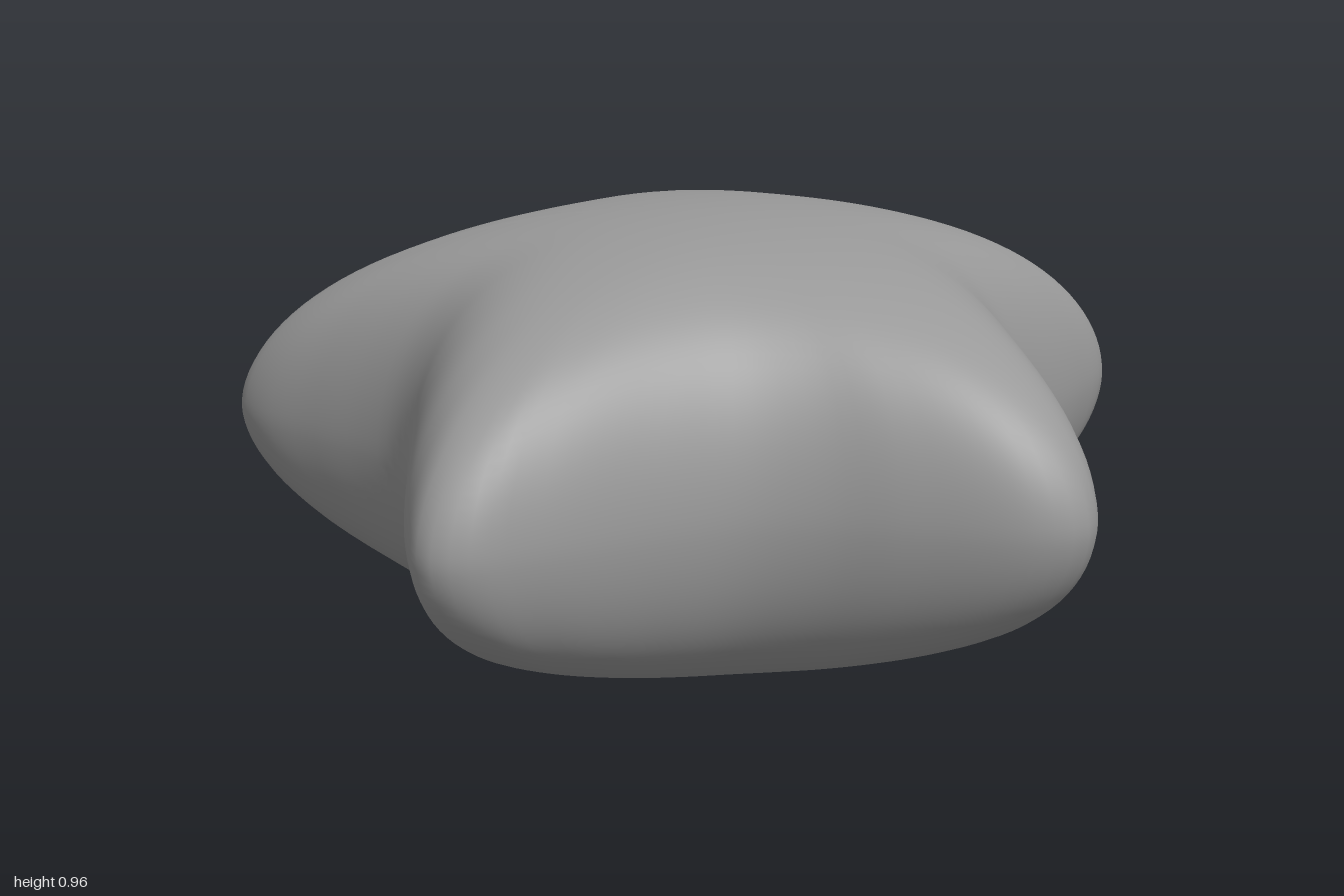
import * as THREE from 'three';
import { mergeVertices } from 'three/addons/utils/BufferGeometryUtils.js';

const HALF_HEIGHT = 0.48;
const CENTER_Z = -0.08;
const TIP_RADIUS = 1.045;

// Right half of the star outline [x, z], from the front tip to the back notch
const HALF_OUTLINE = [
  [0, 0.95], [0.085, 0.905], [0.225, 0.7], [0.315, 0.56], [0.42, 0.457], [0.57, 0.386],
  [0.82, 0.312], [0.955, 0.265], [1, 0.2], [0.935, 0.07], [0.77, -0.14], [0.685, -0.255],
  [0.642, -0.36], [0.633, -0.47], [0.642, -0.64], [0.655, -0.83], [0.63, -0.925],
  [0.57, -0.957], [0.43, -0.922], [0.19, -0.82], [0, -0.785],
];

// Mirror the half outline into a closed smooth curve
function starOutline(count) {
  const mirrored = HALF_OUTLINE.slice(1, -1).reverse().map(([x, z]) => [-x, z]);
  const points = [...HALF_OUTLINE, ...mirrored].map(([x, z]) => new THREE.Vector3(x, 0, z));
  const curve = new THREE.CatmullRomCurve3(points, true, 'centripetal');
  curve.arcLengthDivisions = 1000;
  return curve.getSpacedPoints(count);
}

// One shared dome that drops off steeply where the outline cuts in between the arms
function puffyStar(around, rings) {
  const outline = starOutline(around);
  let geometry = new THREE.SphereGeometry(1, around, rings);
  const position = geometry.attributes.position;
  for (let i = 0; i < position.count; i++) {
    const edge = outline[(i % (around + 1)) % around];
    const ring = Math.floor(i / (around + 1));
    const s = Math.sin((Math.PI * ring) / rings);
    const side = Math.sign(rings / 2 - ring);

    const reach = Math.hypot(edge.x, edge.z - CENTER_Z) / TIP_RADIUS;
    const q = Math.min(1, reach * reach);
    const dome = q * s * s;
    const fall = Math.max(0, 1 - dome - (1 - q) * s ** 6);
    // the underside tapers a little more than the top
    const taper = side < 0 ? 1 - 0.25 * dome * (1 - dome) : 1;
    position.setXYZ(
      i,
      edge.x * s,
      HALF_HEIGHT * (1 + side * taper * fall ** 0.55),
      CENTER_Z + (edge.z - CENTER_Z) * s,
    );
  }
  // weld the seam and poles for continuous smooth normals
  geometry.deleteAttribute('uv');
  geometry.deleteAttribute('normal');
  geometry = mergeVertices(geometry, 1e-5);
  geometry.computeVertexNormals();
  return geometry;
}

export function createModel() {
  const group = new THREE.Group();
  group.name = 'puffyStar';
  const grey = new THREE.MeshStandardMaterial({ color: 0x999999 });
  grey.name = 'grey';

  const body = new THREE.Mesh(puffyStar(180, 64), grey);
  body.name = 'starBody';
  group.add(body);
  return group;
}
